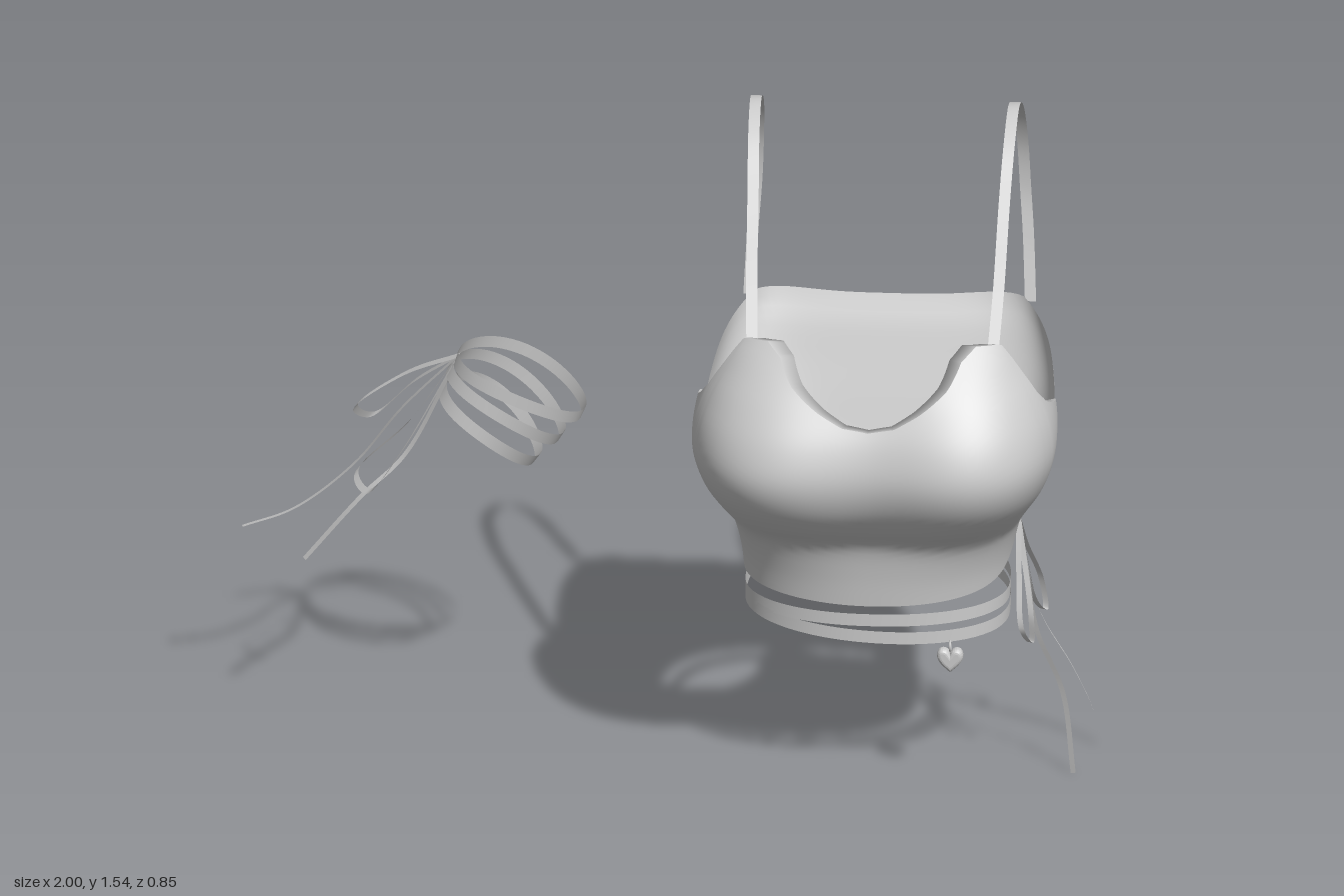
import * as THREE from 'three';

const V = (x, y, z) => new THREE.Vector3(x, y, z);
const { lerp, smoothstep } = THREE.MathUtils;
const mat = new THREE.MeshStandardMaterial({ color: 0xcccccc, side: THREE.DoubleSide });

// Surface from a rule f(u, v) with u, v in 0..1
function surface(name, f, nu, nv) {
  const pos = [], idx = [];
  for (let j = 0; j <= nv; j++) {
    for (let i = 0; i <= nu; i++) {
      pos.push(...f(i / nu, j / nv).toArray());
      if (i < nu && j < nv) {
        const a = j * (nu + 1) + i, b = a + 1, c = a + nu + 1, d = c + 1;
        idx.push(a, b, d, a, d, c);
      }
    }
  }
  const geo = new THREE.BufferGeometry();
  geo.setAttribute('position', new THREE.Float32BufferAttribute(pos, 3));
  geo.setIndex(idx);
  geo.computeVertexNormals();
  const mesh = new THREE.Mesh(geo, mat);
  mesh.name = name;
  return mesh;
}

// Flat ribbon along a smooth path, widened along one direction
function ribbon(name, points, width, dir, closed = false, n = 40) {
  const curve = new THREE.CatmullRomCurve3(points.map(p => V(...p)), closed);
  const side = V(...dir).normalize();
  return surface(name, (u, v) => curve.getPoint(u).addScaledVector(side, (v - 0.5) * width), n, 1);
}

// Table lookup: column k against column 0, straight or smoothed
function look(table, x, k, smooth = false) {
  const last = table.length - 1;
  if (x <= table[0][0]) return table[0][k];
  if (x >= table[last][0]) return table[last][k];
  let i = 0;
  while (x > table[i + 1][0]) i++;
  const [p, q] = [table[i], table[i + 1]], h = q[0] - p[0], s = (x - p[0]) / h;
  if (!smooth) return p[k] + (q[k] - p[k]) * s;
  const slope = j => {
    const a = table[Math.max(j - 1, 0)], b = table[Math.min(j + 1, last)];
    return (b[k] - a[k]) / (b[0] - a[0]);
  };
  const s2 = s * s, s3 = s2 * s;
  return (2 * s3 - 3 * s2 + 1) * p[k] + (s3 - 2 * s2 + s) * h * slope(i)
    + (3 * s2 - 2 * s3) * q[k] + (s3 - s2) * h * slope(i + 1);
}

// Height, half width, front depth, back depth, cleft between the cups
const ZC = 0.03;
const PROFILE = [
  [0.46, 0.305, 0.21, 0.28, 0], [0.55, 0.315, 0.22, 0.28, 0], [0.62, 0.332, 0.24, 0.285, 0.005],
  [0.65, 0.345, 0.275, 0.295, 0.02], [0.69, 0.365, 0.335, 0.31, 0.035], [0.76, 0.40, 0.395, 0.335, 0.045],
  [0.84, 0.42, 0.42, 0.365, 0.05], [0.92, 0.415, 0.40, 0.395, 0.045], [1.0, 0.389, 0.35, 0.43, 0.035],
  [1.06, 0.36, 0.297, 0.43, 0.02], [1.13, 0.336, 0.222, 0.43, 0],
];
// Front neckline: angle from the middle in degrees, height
const NECK = [[0, 0.96], [9, 0.97], [18, 1.0], [31, 1.05], [41, 1.10], [50, 1.125],
  [60, 1.12], [63, 1.06], [66, 1.0], [71, 0.965], [80, 0.935], [91, 0.91]];

function bodyPoint(t, y, inset = 0) {
  const front = Math.cos(t) > 0;
  const w = look(PROFILE, y, 1, true), d = look(PROFILE, y, front ? 2 : 3, true);
  const n = front ? lerp(2.2, 3, smoothstep(y, 0.46, 0.8)) : lerp(2.7, 7.5, smoothstep(y, 0.44, 1.05));
  const s = Math.sin(t), c = Math.cos(t);
  const r = (Math.abs(s / w) ** n + Math.abs(c / d) ** n) ** (-1 / n) - inset;
  const cleft = front ? look(PROFILE, y, 4, true) * Math.exp(-((r * s / 0.17) ** 2)) : 0;
  const z = ZC + r * c;
  // the sides draw in toward the back
  const taper = 1 + 0.17 * smoothstep(y, 0.55, 0.85) * Math.min(z - 0.2, 0);
  return V(r * s * taper, y, z - cleft);
}
const hem = t => 0.49 - 0.02 * Math.max(0, Math.cos(t))
  + 0.12 * Math.exp(-Math.abs(t - Math.PI / 2) / (t < Math.PI / 2 ? 0.2 : 0.3));
const neck = t => look(NECK, Math.abs(t) * 180 / Math.PI, 1);
// Rises from the sides to the corners, with a slight dip in the middle
const backTop = t => 0.84 + 0.155 * Math.min(1, 0.85 * Math.abs(Math.cos(t) / (Math.sin(t) || 1e-6)))
  - 0.012 * smoothstep(-Math.cos(t), 0.8, 1);

function heart() {
  const s = new THREE.Shape();
  s.moveTo(0, -0.032);
  s.bezierCurveTo(-0.015, -0.018, -0.032, -0.006, -0.03, 0.012);
  s.bezierCurveTo(-0.028, 0.032, -0.004, 0.03, 0, 0.014);
  s.bezierCurveTo(0.004, 0.03, 0.028, 0.032, 0.03, 0.012);
  s.bezierCurveTo(0.032, -0.006, 0.015, -0.018, 0, -0.032);
  const geo = new THREE.ExtrudeGeometry(s, { depth: 0.008, bevelThickness: 0.011, bevelSize: 0.01,
    bevelOffset: -0.01, bevelSegments: 4, curveSegments: 8 });
  return new THREE.Mesh(geo.translate(0, 0, -0.004), mat);
}

export function createModel() {
  const model = new THREE.Group();
  const top = new THREE.Group();
  top.name = 'top';
  top.position.x = 0.49;
  model.add(top);

  // Front panel, lying slightly over the back panel at the sides
  const F = 91 * Math.PI / 180;
  const over = y => -0.006 * smoothstep(y, 0.66, 0.85);
  top.add(surface('frontPanel', (u, v) => {
    const t = (u * 2 - 1) * F, y = lerp(hem(t), neck(t), v);
    return bodyPoint(t, y, over(y));
  }, 124, 32));

  // Turned-in edge of the neckline
  const LIP = [[0, 0, 0], [1, 0.045, 0.01], [2, 0.055, 0.09]];
  top.add(surface('necklineLip', (u, v) => {
    const t = (u * 2 - 1) * F, y = neck(t);
    return bodyPoint(t, y, over(y) + look(LIP, v * 2, 1)).add(V(0, -look(LIP, v * 2, 2), 0));
  }, 124, 2));

  // Back panel
  top.add(surface('backPanel', (u, v) => {
    const t = Math.PI / 2 - 0.05 + u * (Math.PI + 0.1);
    return bodyPoint(t, lerp(hem(t), backTop(t), v));
  }, 96, 24));

  // Shoulder straps
  for (const s of [-1, 1]) {
    top.add(ribbon(s > 0 ? 'leftStrap' : 'rightStrap', [
      [s * 0.278, 1.10, 0.212], [s * 0.285, 1.22, 0.12], [s * 0.29, 1.385, 0], [s * 0.295, 1.495, -0.1],
      [s * 0.298, 1.54, -0.21], [s * 0.3, 1.485, -0.33], [s * 0.305, 1.37, -0.405],
      [s * 0.31, 1.25, -0.425], [s * 0.318, 1.13, -0.41], [s * 0.325, 0.98, -0.375],
    ], 0.026, [1, 0, 0], false, 60));
  }

  // Two ribbons around the waist, the lower one tilted
  [[0.435, 0], [0.405, -0.05]].forEach(([y, tilt], i) => {
    top.add(surface(i ? 'lowerWaistRibbon' : 'upperWaistRibbon', (u, v) => {
      const p = bodyPoint(u * Math.PI * 2, 0.46);
      p.y = y + tilt * p.x - 0.012 * i * Math.cos(u * Math.PI * 2) + (v - 0.5) * 0.03;
      return p;
    }, 80, 1));
  });

  // Heart charm on a small ring
  const charm = new THREE.Group();
  charm.name = 'heartCharm';
  charm.position.set(0.18, 0.335, 0.218);
  const link = new THREE.Mesh(new THREE.TorusGeometry(0.011, 0.003, 6, 16), mat);
  link.position.y = 0.032;
  link.rotation.y = Math.PI / 2;
  charm.add(heart(), link);
  top.add(charm);

  // Bow with loops and tails on the left side
  const bow = new THREE.Group();
  bow.name = 'sideBow';
  const k = [0.815, 0.61, 0.03];
  bow.add(
    ribbon('frontLoop', [k, [0.83, 0.53, 0.07], [0.85, 0.41, 0.125], [0.85, 0.34, 0.122],
      [0.83, 0.38, 0.145], [0.82, 0.5, 0.09], k], 0.014, [1, 0, 0.4]),
    ribbon('backLoop', [k, [0.83, 0.53, -0.01], [0.86, 0.42, -0.07], [0.87, 0.34, -0.075],
      [0.85, 0.37, -0.045], [0.825, 0.5, 0], k], 0.014, [1, 0, 0.4]),
    ribbon('frontTail', [k, [0.835, 0.5, 0.068], [0.86, 0.35, 0.075], [0.92, 0.2, 0.08],
      [0.945, 0, 0.087]], 0.014, [1, 0.3, 0.5]),
    ribbon('backTail', [k, [0.83, 0.5, -0.02], [0.86, 0.34, -0.055], [0.93, 0.2, -0.08],
      [0.97, 0.115, -0.08], [1, 0.03, -0.07]], 0.014, [0.2, 0, 1]));
  model.add(bow);

  // Arm ribbon: three tilted turns, each given by its left and right ends
  const arm = new THREE.Group();
  arm.name = 'armRibbon';
  [[-0.50, 0.87, -0.205, 0.745], [-0.515, 0.845, -0.255, 0.685], [-0.53, 0.79, -0.31, 0.63]]
    .forEach(([x0, y0, x1, y1], i) => {
      const pts = [];
      for (let j = 0; j < 16; j++) {
        const a = j * Math.PI / 8, m = (1 + Math.cos(a)) / 2;
        pts.push([x0 + (x1 - x0) * m, y0 + (y1 - y0) * m + 0.02 * Math.sin(a) ** 2,
          -0.22 + 0.15 * Math.sin(a)]);
      }
      arm.add(ribbon('turn' + (i + 1), pts, 0.03, [y0 - y1, x1 - x0, 0], true, 56));
    });

  // Arm bow
  const a = [-0.495, 0.875, -0.215];
  arm.add(
    ribbon('loopA', [a, [-0.62, 0.8, -0.28], [-0.74, 0.69, -0.33], [-0.705, 0.65, -0.38],
      [-0.6, 0.77, -0.31], a], 0.018, [0.6, 0.8, 0]),
    ribbon('loopB', [a, [-0.6, 0.75, -0.12], [-0.72, 0.64, -0.06], [-0.69, 0.61, -0.025],
      [-0.62, 0.68, -0.09], a], 0.018, [0.6, 0.8, 0]),
    ribbon('longTail', [a, [-0.63, 0.715, -0.27], [-0.74, 0.57, -0.277], [-0.875, 0.465, -0.255],
      [-0.995, 0.42, -0.245]], 0.02, [0.2, 0.2, 1]),
    ribbon('shortTail', [a, [-0.61, 0.66, -0.14], [-0.71, 0.57, -0.09],
      [-0.84, 0.42, -0.065]], 0.02, [0.4, 0, 1]));
  model.add(arm);

  return model;
}
